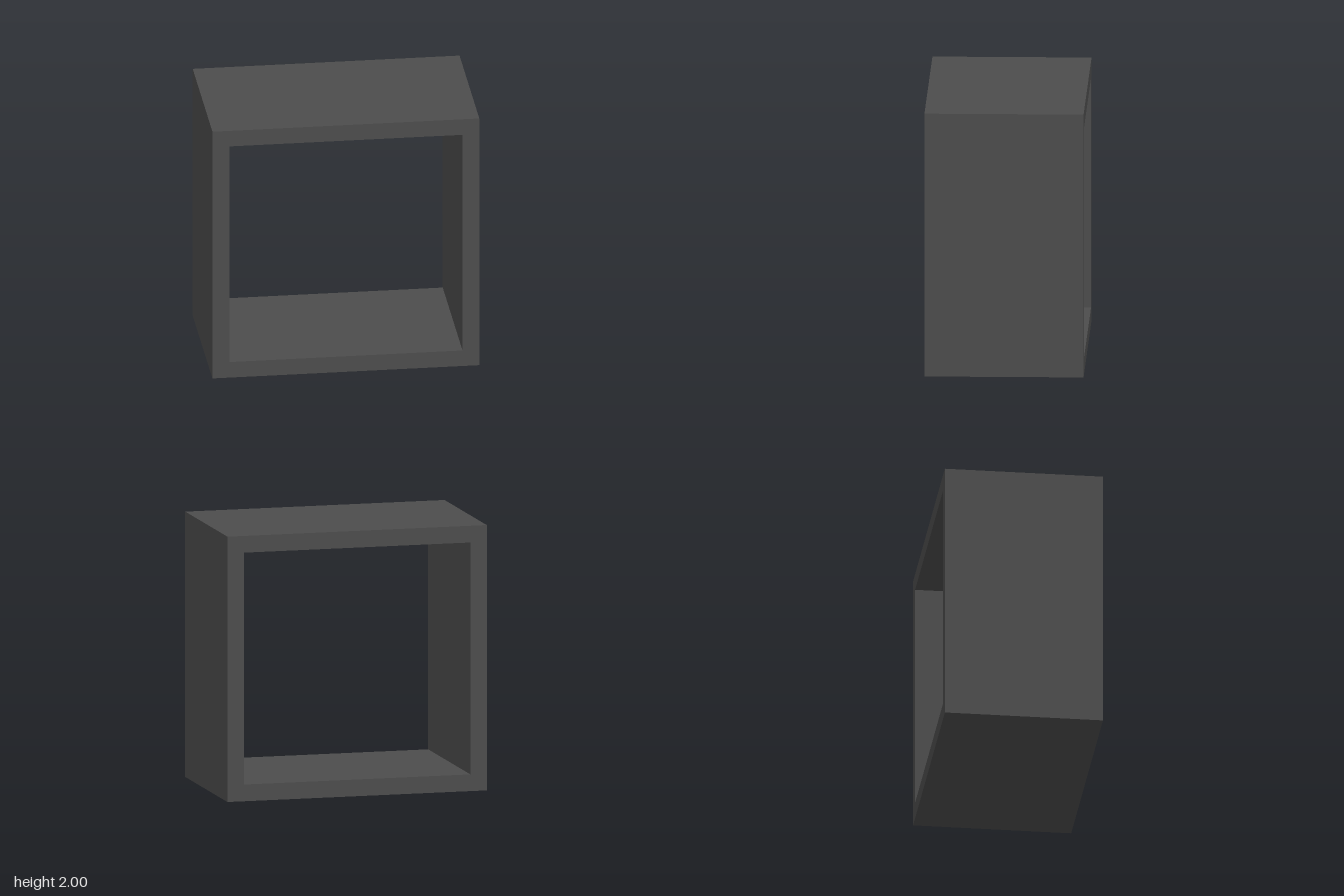
import * as THREE from 'three';

const SIZE = 2, WALL = 0.126, DEPTH = 1.184;

// Closed square outline, centred on x, with its lower edge at y = bottom
function square(target, side, bottom) {
  const h = side / 2;
  target.moveTo(-h, bottom);
  target.lineTo(h, bottom);
  target.lineTo(h, bottom + side);
  target.lineTo(-h, bottom + side);
  target.closePath();
  return target;
}

export function createModel() {
  const model = new THREE.Group();
  model.name = 'cubeShelf';

  // Square frame, open at front and back
  const outline = square(new THREE.Shape(), SIZE, 0);
  outline.holes.push(square(new THREE.Path(), SIZE - 2 * WALL, WALL));
  const geometry = new THREE.ExtrudeGeometry(outline, { depth: DEPTH, bevelEnabled: false });
  geometry.translate(0, 0, -DEPTH / 2);

  const frame = new THREE.Mesh(geometry, new THREE.MeshStandardMaterial({ color: 0x4c4c4c }));
  frame.name = 'shelfFrame';
  model.add(frame);
  return model;
}
